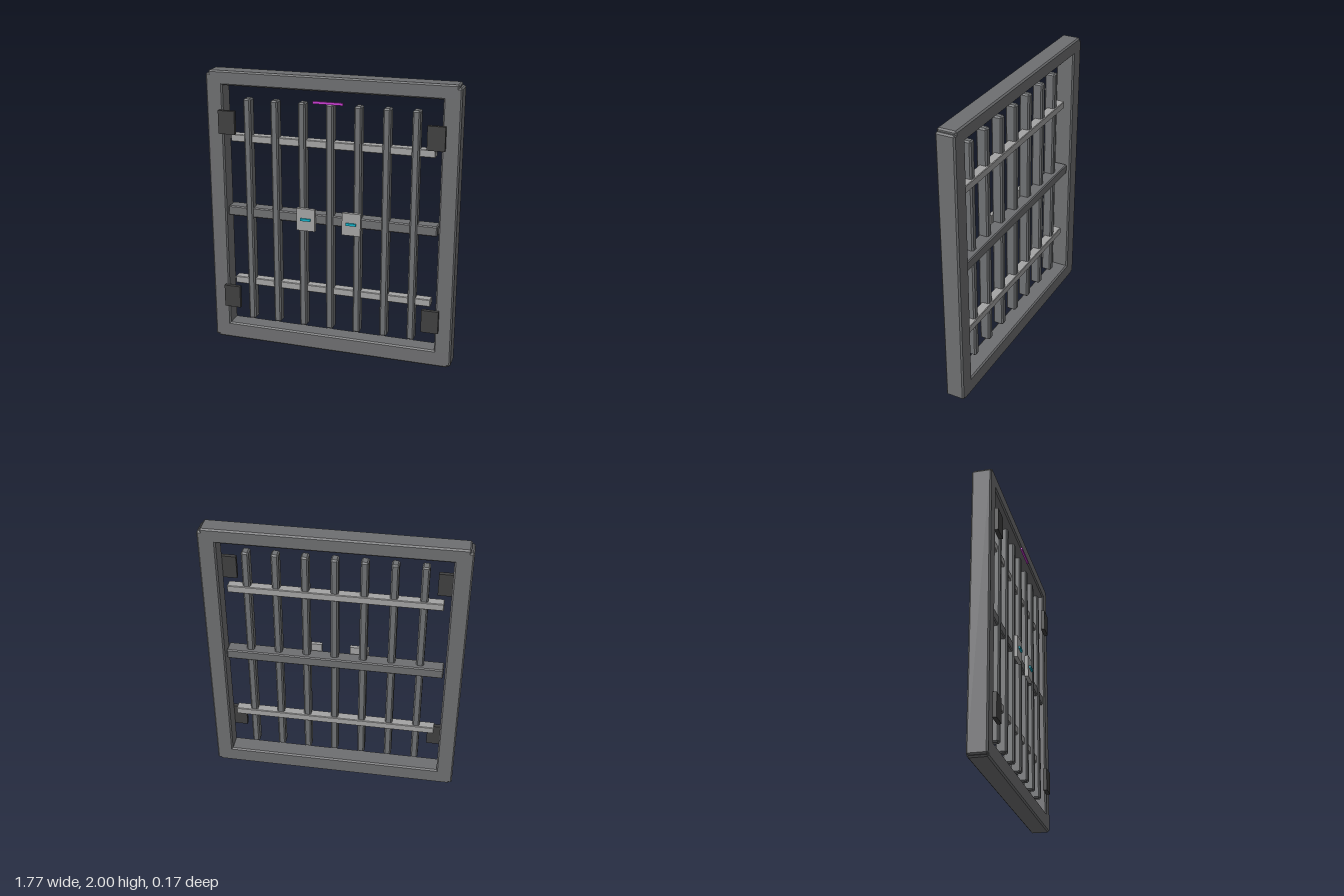
import * as THREE from 'three';
import { ConvexGeometry } from 'three/addons/geometries/ConvexGeometry.js';

const paint = (color) => new THREE.MeshStandardMaterial({ color, flatShading: true });

// Box with every edge chamfered by c
function chamferBox(w, h, d, c) {
  const [x, y, z] = [w / 2, h / 2, d / 2];
  const points = [];
  for (const sx of [-1, 1]) for (const sy of [-1, 1]) for (const sz of [-1, 1]) {
    points.push(
      new THREE.Vector3(sx * x, sy * (y - c), sz * (z - c)),
      new THREE.Vector3(sx * (x - c), sy * y, sz * (z - c)),
      new THREE.Vector3(sx * (x - c), sy * (y - c), sz * z),
    );
  }
  return new ConvexGeometry(points);
}

export function createModel() {
  const group = new THREE.Group();
  const frameGrey = paint(0x6e6f71);
  const barGrey = paint(0x707274);
  const lightGrey = paint(0xa4a4a4);
  const darkGrey = paint(0x404040);
  const cyan = paint(0x10b4cc);
  const magenta = paint(0xc83cd2);

  // Add a block by its extents on each axis; chamfer 0 gives a plain box
  function block(name, [x0, x1], [y0, y1], [z0, z1], material, chamfer = 0) {
    const size = [x1 - x0, y1 - y0, z1 - z0];
    const geometry = chamfer ? chamferBox(...size, chamfer) : new THREE.BoxGeometry(...size);
    const mesh = new THREE.Mesh(geometry, material);
    mesh.name = name;
    mesh.position.set((x0 + x1) / 2, (y0 + y1) / 2, (z0 + z1) / 2);
    group.add(mesh);
  }
  // Extents mirrored to side s
  const side = (s, a, b) => (s > 0 ? [a, b] : [-b, -a]);

  // Outer frame
  const frameZ = [-0.083, 0.05];
  block('topFrameRail', [-0.865, 0.865], [1.9, 2], frameZ, frameGrey, 0.01);
  block('bottomFrameRail', [-0.865, 0.865], [0, 0.12], frameZ, frameGrey, 0.01);
  for (const s of [-1, 1]) {
    block('framePost', side(s, 0.765, 0.885), [0.01, 1.98], frameZ, frameGrey, 0.01);
  }

  // Vertical bars
  for (let i = -3; i <= 3; i++) {
    const x = i * 0.197;
    block('verticalBar', [x - 0.026, x + 0.026], [0.175, 1.815], [-0.03, 0.045], barGrey, 0.01);
  }

  // Horizontal rails
  block('middleRail', [-0.755, 0.755], [0.96, 1.032], [-0.06, 0.036], frameGrey, 0.007);
  for (const y of [0.463, 1.53]) {
    block('thinRail', [-0.722, 0.722], [y - 0.026, y + 0.026], [-0.04, 0.025], lightGrey, 0.004);
  }

  // Hinge plates, lock plates and their indicator strips
  for (const s of [-1, 1]) {
    for (const y of [0.346, 1.647]) {
      block('hingePlate', side(s, 0.672, 0.792), [y - 0.082, y + 0.082], [0.048, 0.076], darkGrey);
    }
    block('lockPlate', side(s, 0.098, 0.23), [0.916, 1.076], [0.045, 0.071], lightGrey);
    block('lockStrip', side(s, 0.128, 0.2), [0.99, 1.007], [0.07, 0.083], cyan);
  }

  // Status strip under the top rail
  block('statusStrip', [-0.106, 0.104], [1.822, 1.839], [0.064, 0.078], magenta);

  return group;
}
